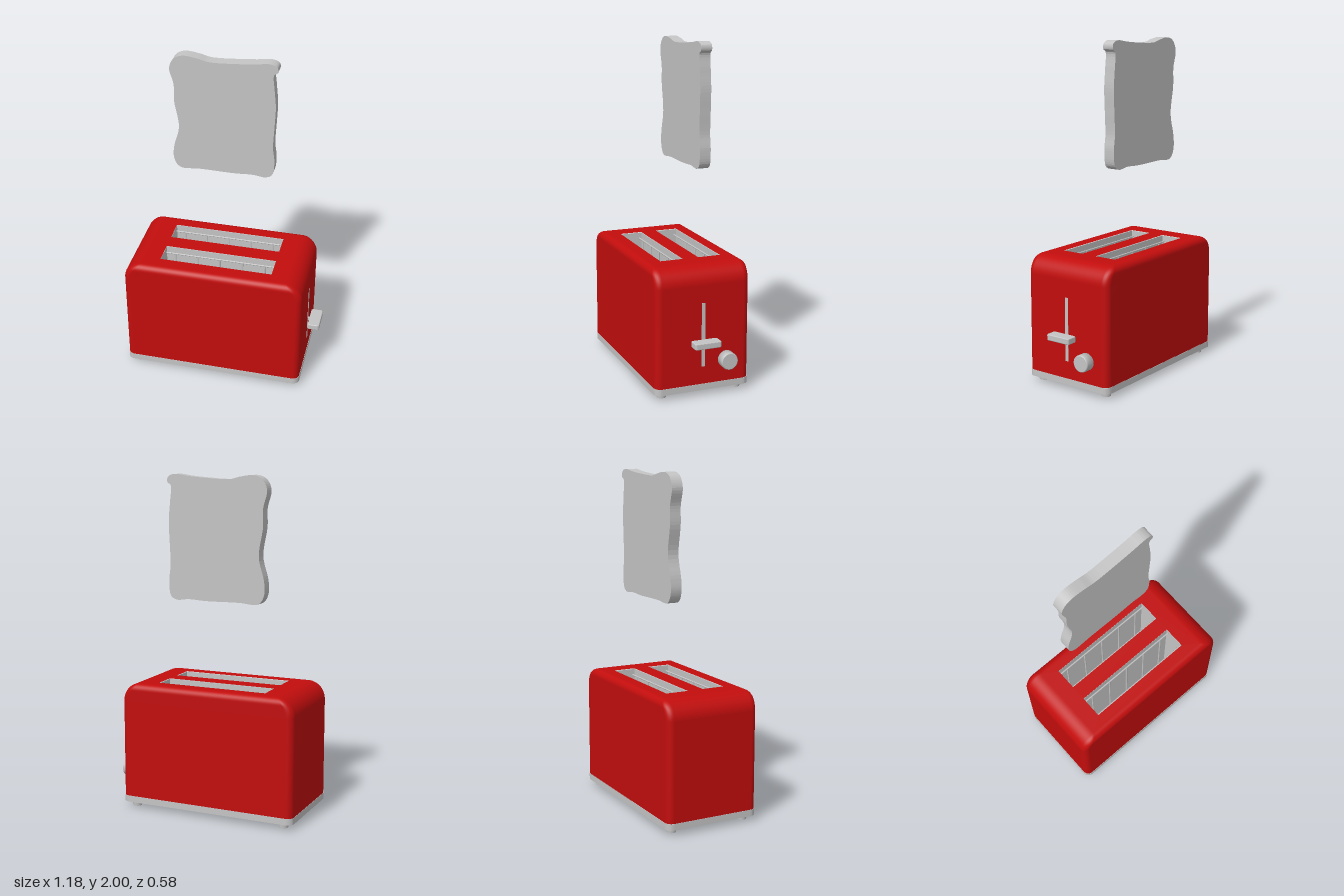
import * as THREE from 'three';

const CX = -0.043, HX = 0.546, HZ = 0.289; // body centre and half sizes
const TOP = 0.766, BOTTOM = 0.07, RX = 0.11, RZ = 0.04;
const SLOT = { x0: -0.383, x1: 0.3, depth: 0.138, zs: [-0.122, 0.114], floor: 0.08 };

const red = new THREE.MeshStandardMaterial({ color: 0xc20d0d });
red.name = 'red enamel';
const grey = new THREE.MeshStandardMaterial({ color: 0xc4c4c4 });
grey.name = 'grey metal';

function add(parent, name, geometry, material, x = 0, y = 0, z = 0) {
  const mesh = new THREE.Mesh(geometry, material);
  mesh.name = name;
  mesh.position.set(x, y, z);
  parent.add(mesh);
  return mesh;
}

// Points [x, z] of a rounded rectangle around the body centre
function roundedLoop(hx, hz, r, steps = 6) {
  const points = [];
  [[1, 1], [-1, 1], [-1, -1], [1, -1]].forEach(([sx, sz], corner) => {
    for (let i = 0; i <= steps; i++) {
      const a = (corner + i / steps) * Math.PI / 2;
      points.push([CX + sx * (hx - r) + r * Math.cos(a), sz * (hz - r) + r * Math.sin(a)]);
    }
  });
  return points;
}

const loopShape = (loop) => new THREE.Shape(loop.map(([x, z]) => new THREE.Vector2(x, -z)));

function rectangle(Type, x0, x1, z0, z1) {
  return new Type([[x0, -z1], [x1, -z1], [x1, -z0], [x0, -z0]].map((p) => new THREE.Vector2(...p)));
}

// Extrudes a plan shape upwards from y = 0
function extrudeUp(shape, height) {
  return new THREE.ExtrudeGeometry(shape, { depth: height, bevelEnabled: false }).rotateX(-Math.PI / 2);
}

// Shell sides: stacked plan outlines, wide rounding at the ends, tight rounding front and back
function shellGeometry() {
  const levels = [[BOTTOM, HX, HZ]];
  const steps = 28;
  for (let i = 0; i <= steps; i++) {
    const t = (i / steps) * Math.PI / 2;
    const y = TOP - RX + RX * Math.sin(t);
    const rise = Math.max(0, y - (TOP - RZ));
    levels.push([y, HX - RX + RX * Math.cos(t), HZ - RZ + Math.sqrt(Math.max(0, RZ * RZ - rise * rise))]);
  }
  const position = [], index = [];
  let n = 0;
  levels.forEach(([y, hx, hz], row) => {
    const loop = roundedLoop(hx, hz, Math.max(0.001, hz - HZ + RZ));
    n = loop.length;
    loop.forEach(([x, z]) => position.push(x, y, z));
    if (row === 0) return;
    for (let i = 0; i < n; i++) {
      const a = (row - 1) * n + i, b = (row - 1) * n + (i + 1) % n;
      index.push(a, a + n, b, b, a + n, b + n);
    }
  });
  const geometry = new THREE.BufferGeometry();
  geometry.setAttribute('position', new THREE.Float32BufferAttribute(position, 3));
  geometry.setIndex(index);
  geometry.computeVertexNormals();
  return geometry;
}

function addBody(model) {
  const body = new THREE.Group();
  body.name = 'body';
  model.add(body);
  add(body, 'shell', shellGeometry(), red);

  // Flat top with two slot openings
  const top = loopShape(roundedLoop(HX - RX, HZ - RZ, 0.001));
  for (const z of SLOT.zs) {
    top.holes.push(rectangle(THREE.Path, SLOT.x0, SLOT.x1, z - SLOT.depth / 2, z + SLOT.depth / 2));
  }
  add(body, 'topPanel', new THREE.ShapeGeometry(top).rotateX(-Math.PI / 2), red, 0, TOP, 0);

  // Base plate and feet
  add(body, 'basePlate', extrudeUp(loopShape(roundedLoop(HX + 0.002, HZ + 0.002, RZ)), 0.038), grey, 0, 0.032, 0);
  for (const x of [-0.521, 0.436]) {
    for (const z of [-0.233, 0.233]) {
      add(body, 'foot', new THREE.CylinderGeometry(0.03, 0.027, 0.034, 24), grey, x, 0.017, z);
    }
  }
}

// Slot liner with a wire cage inside
function addSlot(model, z) {
  const slot = new THREE.Group();
  slot.name = 'slot';
  slot.position.z = z;
  model.add(slot);
  const h = SLOT.depth / 2, w = 0.008, length = SLOT.x1 - SLOT.x0, mid = (SLOT.x0 + SLOT.x1) / 2;
  const wall = rectangle(THREE.Shape, SLOT.x0 - w, SLOT.x1 + w, -h - w, h + w);
  wall.holes.push(rectangle(THREE.Path, SLOT.x0, SLOT.x1, -h, h));
  add(slot, 'slotWall', extrudeUp(wall, TOP - 0.004 - SLOT.floor), grey, 0, SLOT.floor, 0);
  add(slot, 'slotFloor', new THREE.BoxGeometry(length, 0.008, SLOT.depth), grey, mid, SLOT.floor + 0.004, 0);

  const r = 0.005, wireTop = TOP - 0.04, wireBottom = SLOT.floor + 0.02;
  const upright = new THREE.CylinderGeometry(r, r, wireTop - wireBottom, 8);
  const cross = new THREE.CylinderGeometry(r, r, SLOT.depth - 0.02, 8).rotateX(Math.PI / 2);
  const rail = new THREE.CylinderGeometry(r, r, length, 8).rotateZ(Math.PI / 2);
  for (const side of [-1, 1]) {
    const wz = side * (h - 0.012);
    for (const y of [wireTop, wireBottom]) add(slot, 'cageRail', rail, grey, mid, y, wz);
    for (let i = 0; i < 5; i++) {
      add(slot, 'cageUpright', upright, grey, -0.325 + i * 0.1403, (wireTop + wireBottom) / 2, wz);
    }
  }
  for (let i = 0; i < 5; i++) add(slot, 'cageCrossWire', cross, grey, -0.325 + i * 0.1403, wireBottom, 0);
}

// Lever track, lever and browning knob on the +x end
function addControls(model) {
  const controls = new THREE.Group();
  controls.name = 'controls';
  model.add(controls);
  add(controls, 'leverTrack', new THREE.BoxGeometry(0.008, 0.38, 0.022), grey, 0.501, 0.365, 0);
  add(controls, 'leverStem', new THREE.BoxGeometry(0.04, 0.018, 0.014), grey, 0.51, 0.326, 0);

  const plate = roundedLoop(0.031, 0.076, 0.008, 4).map(([x, z]) => [x - CX, z]);
  const handle = new THREE.ExtrudeGeometry(loopShape(plate), {
    depth: 0.026, bevelThickness: 0.005, bevelSize: 0.005, bevelSegments: 3,
  }).rotateX(-Math.PI / 2);
  add(controls, 'leverHandle', handle, grey, 0.551, 0.313, 0.002);

  const knob = [[0, -0.01], [0.051, -0.01], [0.051, 0.05], [0.0495, 0.055], [0.046, 0.057], [0.046, 0.057], [0, 0.057]];
  const knobGeometry = new THREE.LatheGeometry(knob.map((p) => new THREE.Vector2(...p)), 40).rotateZ(-Math.PI / 2);
  add(controls, 'browningKnob', knobGeometry, grey, 0.503, 0.203, -0.143);
}

// Slice of bread floating above the rear slot
function addToast(model) {
  const outline = [
    [-0.31, 1.267], [-0.2, 1.272], [0.01, 1.27], [0.125, 1.275], [0.2, 1.268], [0.238, 1.29], [0.25, 1.38],
    [0.24, 1.47], [0.245, 1.6], [0.25, 1.735], [0.241, 1.84], [0.236, 1.935], [0.257, 1.952], [0.254, 1.983],
    [0.215, 2.0], [0.125, 1.99], [0.01, 1.98], [-0.14, 1.975], [-0.205, 1.99], [-0.29, 1.998], [-0.34, 1.975],
    [-0.368, 1.915], [-0.345, 1.815], [-0.345, 1.71], [-0.32, 1.54], [-0.352, 1.41], [-0.357, 1.34], [-0.34, 1.29],
  ];
  const curve = new THREE.CatmullRomCurve3(outline.map(([x, y]) => new THREE.Vector3(x, y, 0)), true);
  const points = curve.getPoints(168).slice(0, -1).map((p) => new THREE.Vector2(p.x, p.y));
  const slice = new THREE.ExtrudeGeometry(new THREE.Shape(points), { depth: 0.068, bevelEnabled: false });
  add(model, 'breadSlice', slice, grey, 0, 0, -0.149);
}

export function createModel() {
  const model = new THREE.Group();
  model.name = 'toaster';
  addBody(model);
  for (const z of SLOT.zs) addSlot(model, z);
  addControls(model);
  addToast(model);
  return model;
}
